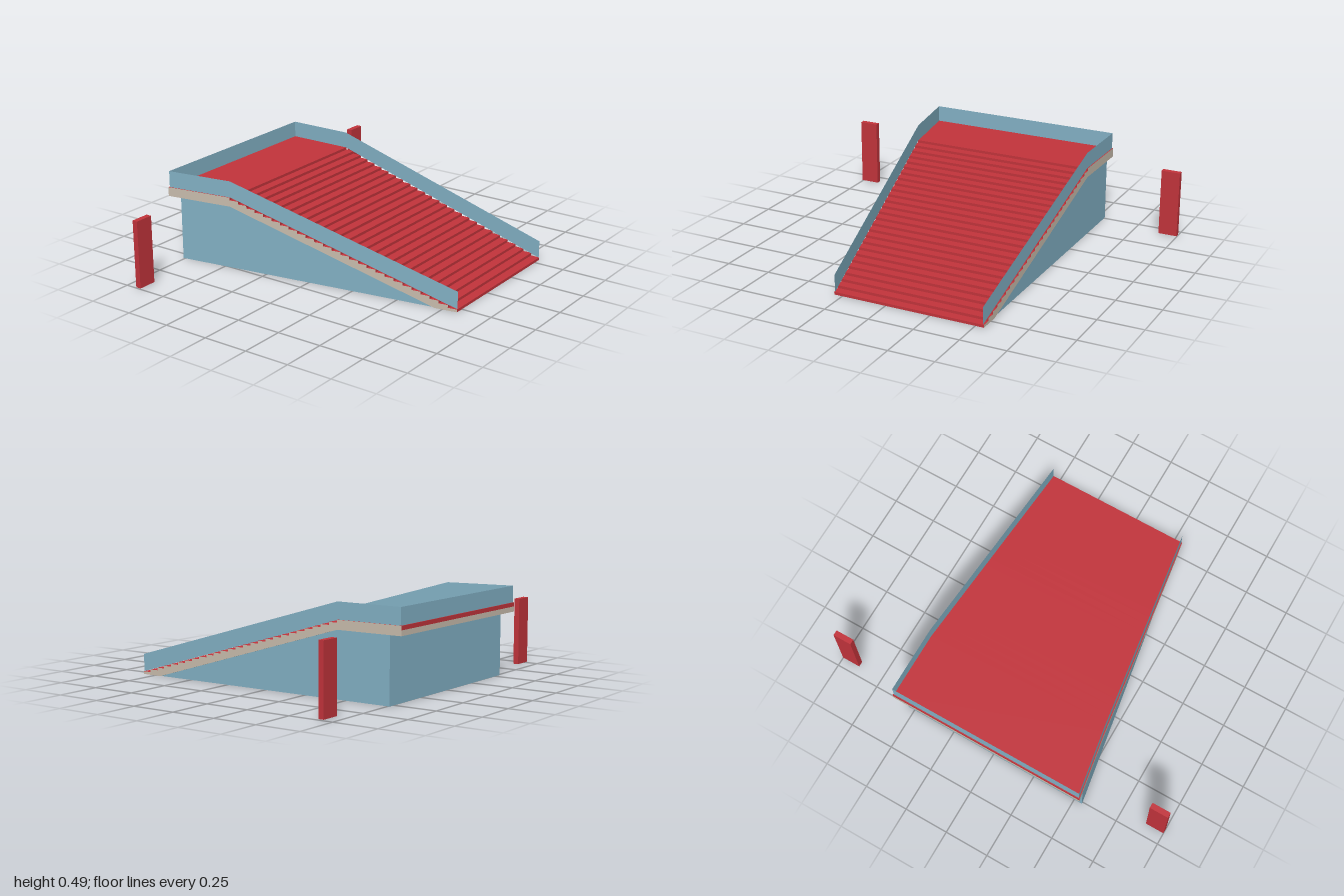
import * as THREE from 'three';

const mat = (name, color) => new THREE.MeshStandardMaterial({ name, color, side: THREE.DoubleSide });

// Plan outline: straight on the +x side, tapering on the -x side
const FRONT = 0.83, BACK = -0.83, LANDING = -0.455, TOP = 0.4;
const rightEdge = () => 0.547;
const taperEdge = z => -0.567 + (0.27 * (z - BACK)) / (FRONT - BACK);

export function createModel() {
  const group = new THREE.Group();
  const red = mat('red', 0xc4343c);
  const blue = mat('blue panel', 0x84b3c7);
  const beige = mat('beige', 0xccc0b0);

  const add = (name, geometry, material) => {
    const mesh = new THREE.Mesh(geometry, material);
    mesh.name = name;
    group.add(mesh);
    return mesh;
  };

  // Faceted sheet swept between two matching lines of points
  const sheet = (name, lineA, lineB, material) => {
    const pos = [];
    for (let i = 0; i + 1 < lineA.length; i++) {
      const [a, b, c, d] = [lineA[i], lineB[i], lineB[i + 1], lineA[i + 1]];
      pos.push(...a, ...b, ...c, ...a, ...c, ...d);
    }
    const g = new THREE.BufferGeometry();
    g.setAttribute('position', new THREE.Float32BufferAttribute(pos, 3));
    g.computeVertexNormals();
    return add(name, g, material);
  };

  // Sheet across the width, following a [z, y] profile
  const across = (name, profile, material, inset = 0) => sheet(name,
    profile.map(([z, y]) => [taperEdge(z) + inset, y, z]),
    profile.map(([z, y]) => [rightEdge(z) - inset, y, z]), material);

  // Upright panel on both sides, from a [z, y] outline
  const sides = (name, outline, material, inset = 0) => {
    const shape = new THREE.Shape(outline.map(p => new THREE.Vector2(...p)));
    [[rightEdge, -inset, 'left'], [taperEdge, inset, 'right']].forEach(([edge, dx, side]) => {
      const g = new THREE.ShapeGeometry(shape);
      const p = g.attributes.position;
      for (let i = 0; i < p.count; i++) {
        const z = p.getX(i), y = p.getY(i);
        p.setXYZ(i, edge(z) + dx, y, z);
      }
      if (side === 'left') {
        const idx = g.index.array;
        for (let i = 0; i < idx.length; i += 3) [idx[i], idx[i + 1]] = [idx[i + 1], idx[i]];
      }
      g.computeVertexNormals();
      add(`${side}${name}`, g, material);
    });
  };

  // Steps and landing
  const STEPS = 26, run = (FRONT - LANDING) / STEPS, rise = TOP / (STEPS + 1);
  const steps = [[FRONT, 0]];
  for (let i = 0; i < STEPS; i++) {
    const z = FRONT - i * run, y = (i + 1) * rise;
    steps.push([z, y], [z - run, y]);
  }
  steps.push([LANDING, TOP], [BACK, TOP]);
  across('stepsAndLanding', [...steps, [BACK, 0.378]], red);

  // Slab: stepped sides, sloping soffit and back edge
  const soffit = [[0.71, 0], [LANDING, 0.35], [BACK, 0.35]];
  sides('Stringer', [...steps, ...[...soffit].reverse()], beige);
  across('soffit', [...soffit, [BACK, 0.378]], beige);

  // Lower enclosure panels
  sides('LowerPanel', [[0.71, 0], [LANDING, 0.35], [-0.76, 0.35], [-0.76, 0]], blue, 0.008);
  across('backLowerPanel', [[-0.76, 0], [-0.76, 0.35]], blue, 0.008);

  // Balustrade panels
  sides('Balustrade', [[FRONT, rise], [FRONT, 0.11], [LANDING, 0.49], [-0.825, 0.49],
    [-0.825, TOP], [LANDING, TOP]], blue, 0.005);
  across('backBalustrade', [[-0.825, TOP], [-0.825, 0.49]], blue, 0.005);

  // Vaulted recess beneath the landing, with rounded upper corners
  const x0 = -0.41, x1 = 0.5, ceiling = 0.21, r = 0.08;
  const vault = [[x0, 0]];
  for (let i = 0; i <= 8; i++) {
    const a = Math.PI - (i / 8) * Math.PI / 2;
    vault.push([x0 + r + r * Math.cos(a), ceiling - r + r * Math.sin(a)]);
  }
  const mirrored = vault.map(([x, y]) => [x0 + x1 - x, y]).reverse();
  const arch = [...vault, ...mirrored];
  sheet('recessVault', arch.map(([x, y]) => [x, y, -0.17]), arch.map(([x, y]) => [x, y, -0.74]), beige);
  const end = new THREE.Shape([...arch, [(x0 + x1) / 2, 0.12]].map(p => new THREE.Vector2(...p)));
  add('recessEndWall', new THREE.ShapeGeometry(end).translate(0, 0, -0.17), beige);

  // Free-standing posts
  [['leftPost', 0.9475, -0.685], ['rightPost', -0.9475, -0.67]].forEach(([name, x, z]) =>
    add(name, new THREE.BoxGeometry(0.105, 0.37, 0.03), red).position.set(x, 0.19, z));

  return group;
}
